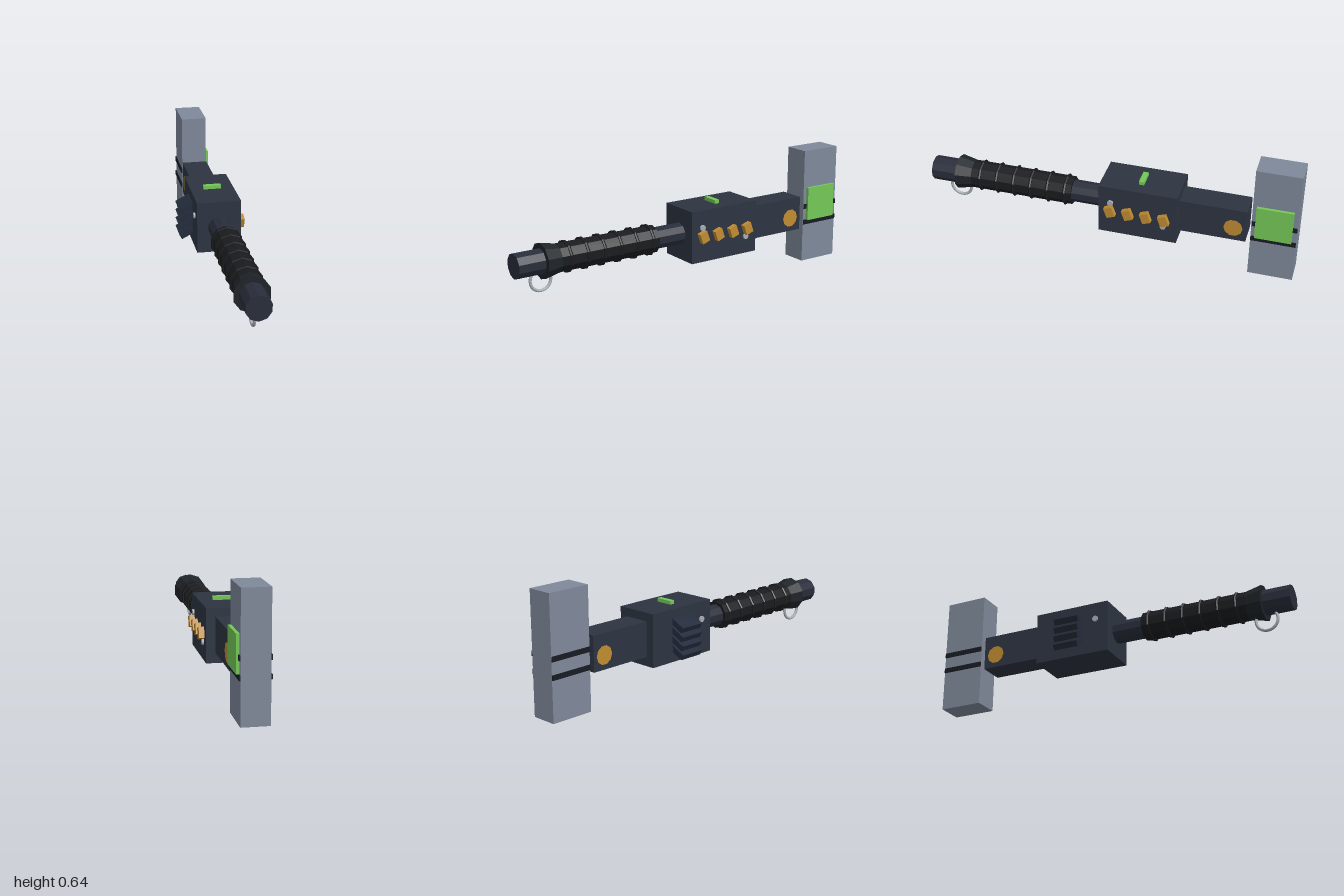
import * as THREE from 'three';

const CX = 0.022, CY = 0.284; // axis of the barrel

export function createModel() {
  const model = new THREE.Group();
  const paint = (color) => new THREE.MeshStandardMaterial({ color, flatShading: true });
  const body = paint(0x2d3441), navy = paint(0x232b3b), tube = paint(0x282d3a), collar = paint(0x1f2429);
  const rubber = paint(0x191b1e), gold = paint(0xc08c32), green = paint(0x74c957);
  const steel = paint(0xa9adb5), grey = paint(0x7f899a), black = paint(0x171b22);

  function add(name, geometry, material, x, y, z) {
    const mesh = new THREE.Mesh(geometry, material);
    mesh.name = name;
    mesh.position.set(x, y, z);
    model.add(mesh);
    return mesh;
  }
  // box given by its extents on each axis
  const box = (name, mat, [x0, x1], [y0, y1], [z0, z1]) =>
    add(name, new THREE.BoxGeometry(x1 - x0, y1 - y0, z1 - z0), mat, (x0 + x1) / 2, (y0 + y1) / 2, (z0 + z1) / 2);
  // ten-sided section of the barrel from z0 (back) to z1 (front)
  const section = (name, mat, rBack, rFront, z0, z1) =>
    add(name, new THREE.CylinderGeometry(rFront, rBack, z1 - z0, 10).rotateX(Math.PI / 2), mat, CX, CY, (z0 + z1) / 2);
  // cylinder lying along x
  const pin = (name, mat, r, x0, x1, y, z, sides) =>
    add(name, new THREE.CylinderGeometry(r, r, x1 - x0, sides).rotateZ(Math.PI / 2), mat, (x0 + x1) / 2, y, z);

  // main housing and rear neck
  box('housing', body, [-0.095, 0.14], [0.143, 0.424], [-0.387, 0.033]);
  box('rearNeck', body, [-0.049, 0.091], [0.193, 0.379], [-0.741, -0.387]);
  pin('neckEmblem', gold, 0.05, -0.0495, 0.0915, 0.267, -0.672, 10);
  box('topButton', green, [-0.025, 0.07], [0.42, 0.443], [-0.193, -0.165]);

  // barrel
  section('barrel', tube, 0.059, 0.059, 0.02, 0.21);
  section('grip', rubber, 0.075, 0.075, 0.203, 0.77);
  section('flaredCollar', collar, 0.074, 0.0935, 0.765, 0.855);
  section('tip', tube, 0.0655, 0.0655, 0.84, 1.0);
  for (let i = 0; i < 6; i++) {
    const ring = new THREE.TorusGeometry(0.077, 0.008, 6, 10).rotateZ(Math.PI / 2);
    add('gripRing', ring, rubber, CX, CY, 0.24 + i * 0.096);
  }

  // hanging ring under the collar
  add('hangingRing', new THREE.TorusGeometry(0.057, 0.008, 8, 24).rotateY(Math.PI / 2), steel, CX, 0.19, 0.858);

  // tilted knobs on one side
  for (let i = 0; i < 4; i++) {
    const knob = add('knob', new THREE.BoxGeometry(0.036, 0.057, 0.046), gold, 0.15, 0.284, -0.032 - i * 0.096);
    knob.rotation.x = 0.35;
  }

  // screw heads
  pin('screw', steel, 0.016, 0.13, 0.15, 0.331, -0.032, 10);
  pin('screw', steel, 0.016, 0.13, 0.15, 0.238, -0.316, 10);
  pin('screw', steel, 0.016, -0.104, -0.085, 0.331, -0.036, 10);

  // slanted vent slats on the other side
  for (let i = 0; i < 4; i++) {
    const slat = add('ventSlat', new THREE.BoxGeometry(0.1, 0.031, 0.138), navy, -0.118, 0.346 - i * 0.0477, -0.178);
    slat.rotation.z = 0.48;
  }

  // rear block with straps and side pad
  box('rearBlock', grey, [-0.048, 0.093], [0, 0.637], [-1, -0.765]);
  for (const y of [0.228, 0.319]) {
    box('strap', black, [-0.054, 0.099], [y - 0.013, y + 0.013], [-0.999, -0.766]);
  }
  box('sidePad', green, [0.09, 0.109], [0.24, 0.427], [-0.976, -0.786]);

  return model;
}
